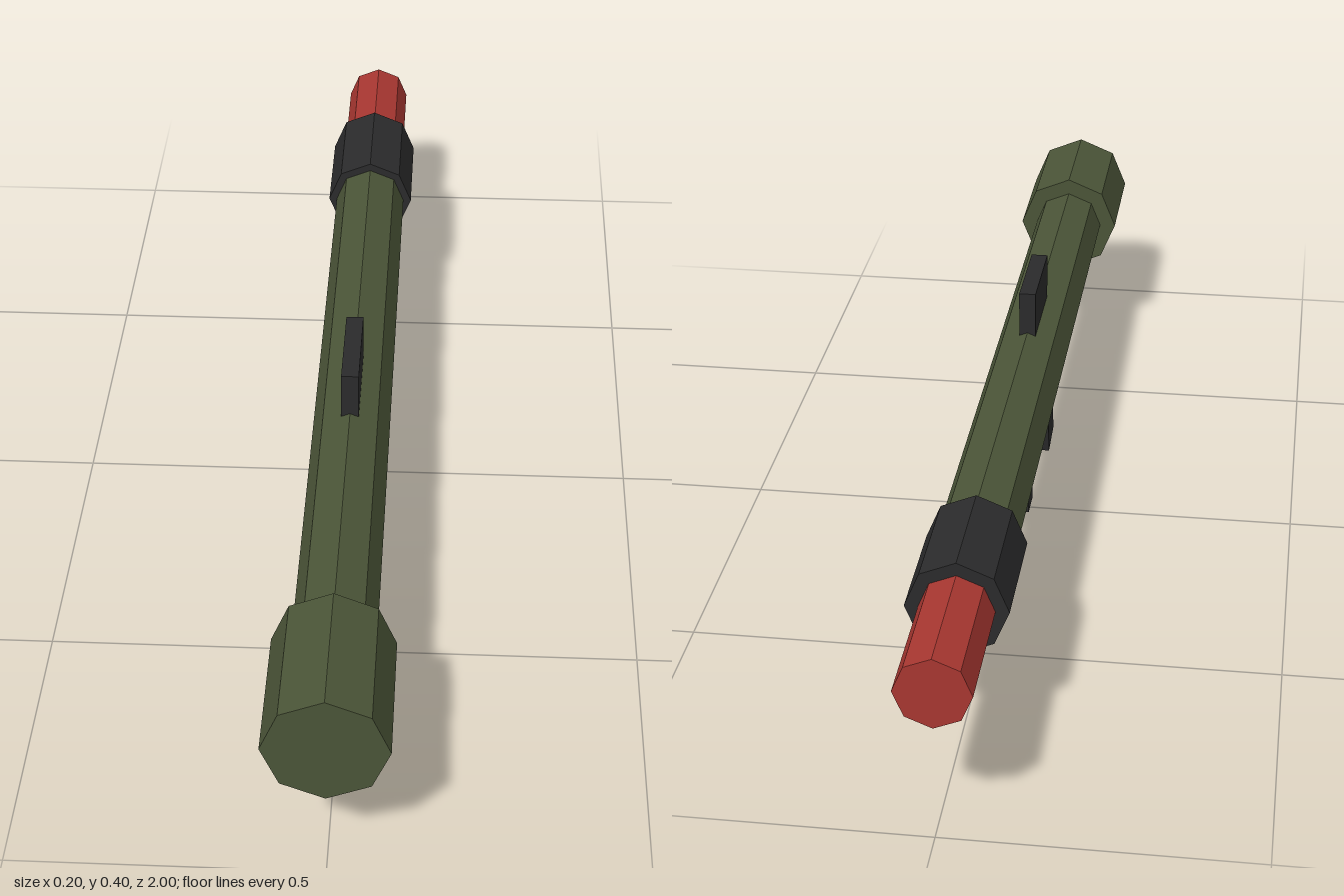
import * as THREE from 'three';

const AXIS_Y = 0.257;

function material(name, color) {
  const m = new THREE.MeshStandardMaterial({ color, flatShading: true });
  m.name = name;
  return m;
}

export function createModel() {
  const group = new THREE.Group();
  group.name = 'launcher';
  const olive = material('olive green', 0x4b5538);
  const dark = material('dark grey', 0x2b2b2c);
  const red = material('red', 0xa83731);

  const add = (name, geometry, mat, x, y, z) => {
    const mesh = new THREE.Mesh(geometry, mat);
    mesh.name = name;
    mesh.position.set(x, y, z);
    group.add(mesh);
    return mesh;
  };

  // Octagonal section running along z between two stations
  const section = (name, radius, z0, z1, mat) => {
    const g = new THREE.CylinderGeometry(radius, radius, z1 - z0, 8);
    g.rotateX(Math.PI / 2);
    return add(name, g, mat, 0, AXIS_Y, (z0 + z1) / 2);
  };
  const box = (name, w, h, d, y, z) =>
    add(name, new THREE.BoxGeometry(w, h, d), dark, 0, y, z);

  // Tube, from front to back
  section('muzzle', 0.098, 0.76, 1, olive);
  section('barrel', 0.067, -0.6, 0.8, olive);
  section('rearCollar', 0.082, -0.77, -0.56, dark);
  section('rearCap', 0.06, -1, -0.72, red);

  // Sight on top, slanted front grip and straight rear grip below
  box('sight', 0.03, 0.1, 0.18, 0.352, 0.167);
  box('frontGrip', 0.048, 0.24, 0.074, 0.125, 0.238).rotation.x = -0.2;
  box('rearGrip', 0.048, 0.18, 0.058, 0.13, -0.059);

  return group;
}
